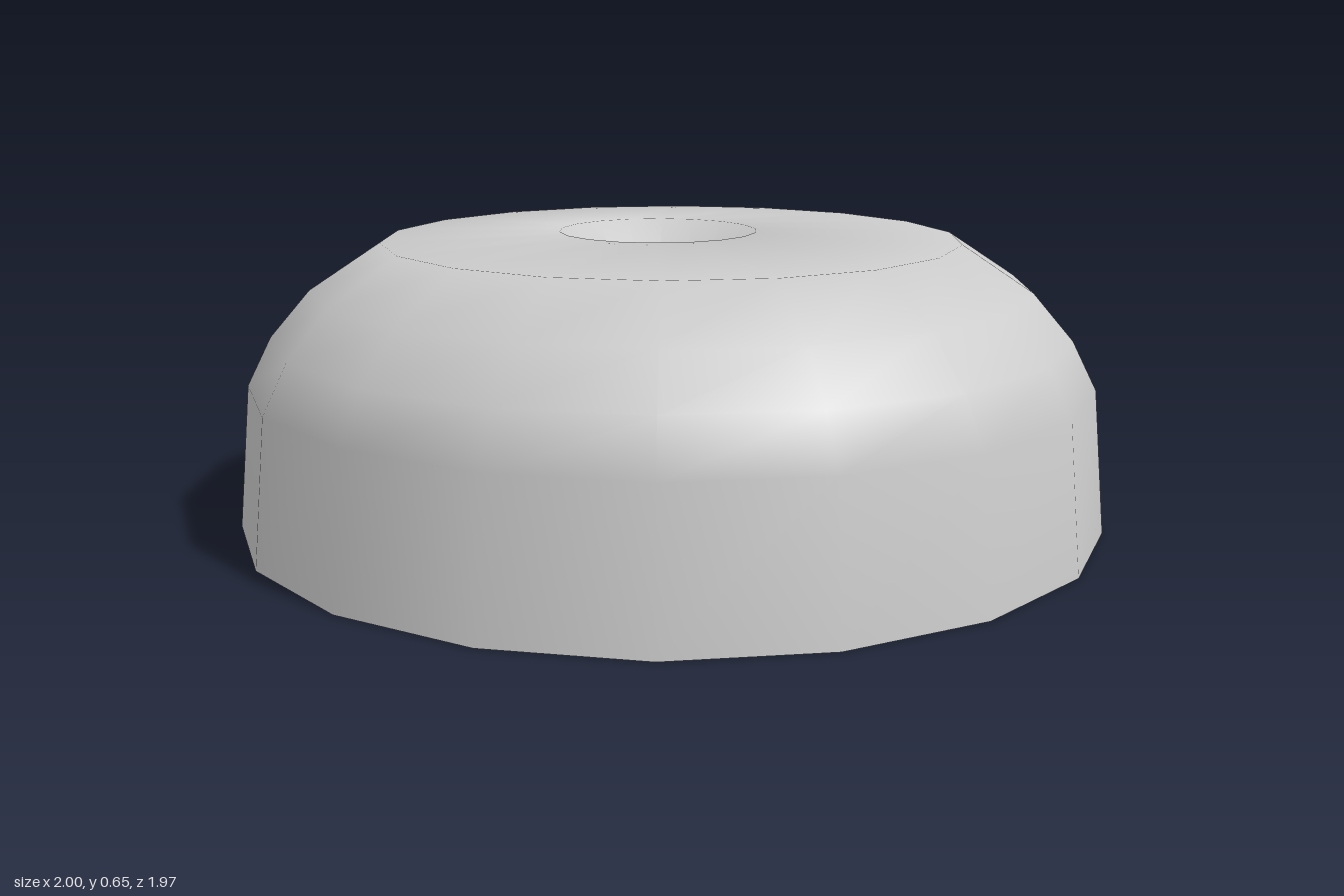
import * as THREE from 'three';

const SIDES = 18;

// Joins circular cross-sections [radius, y, zOffset] into one smooth skin
function skin(rings) {
  const positions = [];
  const index = [];
  for (const [r, y, z] of rings) {
    for (let i = 0; i < SIDES; i++) {
      const a = (i / SIDES) * Math.PI * 2;
      positions.push(r * Math.cos(a), y, z + r * Math.sin(a));
    }
  }
  for (let k = 0; k < rings.length - 1; k++) {
    for (let i = 0; i < SIDES; i++) {
      const j = (i + 1) % SIDES;
      const a = k * SIDES + i, b = k * SIDES + j;
      const c = a + SIDES, d = b + SIDES;
      index.push(a, c, b, b, c, d);
    }
  }
  const geometry = new THREE.BufferGeometry();
  geometry.setAttribute('position', new THREE.Float32BufferAttribute(positions, 3));
  geometry.setIndex(index);
  geometry.computeVertexNormals();
  return geometry;
}

export function createModel() {
  const group = new THREE.Group();
  group.name = 'dimpledCushion';
  const material = new THREE.MeshStandardMaterial({ color: 0xcccccc });

  // Rounded body whose top sinks into a funnel set towards the back
  const body = new THREE.Mesh(skin([
    [1, 0, 0],
    [0.97, 0.33, 0],
    [0.915, 0.44, 0],
    [0.825, 0.545, 0],
    [0.665, 0.65, 0],
    [0.24, 0.64, -0.22],
    [0.005, 0.25, -0.22],
  ]), material);
  body.name = 'body';
  group.add(body);

  // Flat underside
  const base = new THREE.Mesh(new THREE.CircleGeometry(1, SIDES).rotateX(Math.PI / 2), material);
  base.name = 'base';
  group.add(base);

  return group;
}
